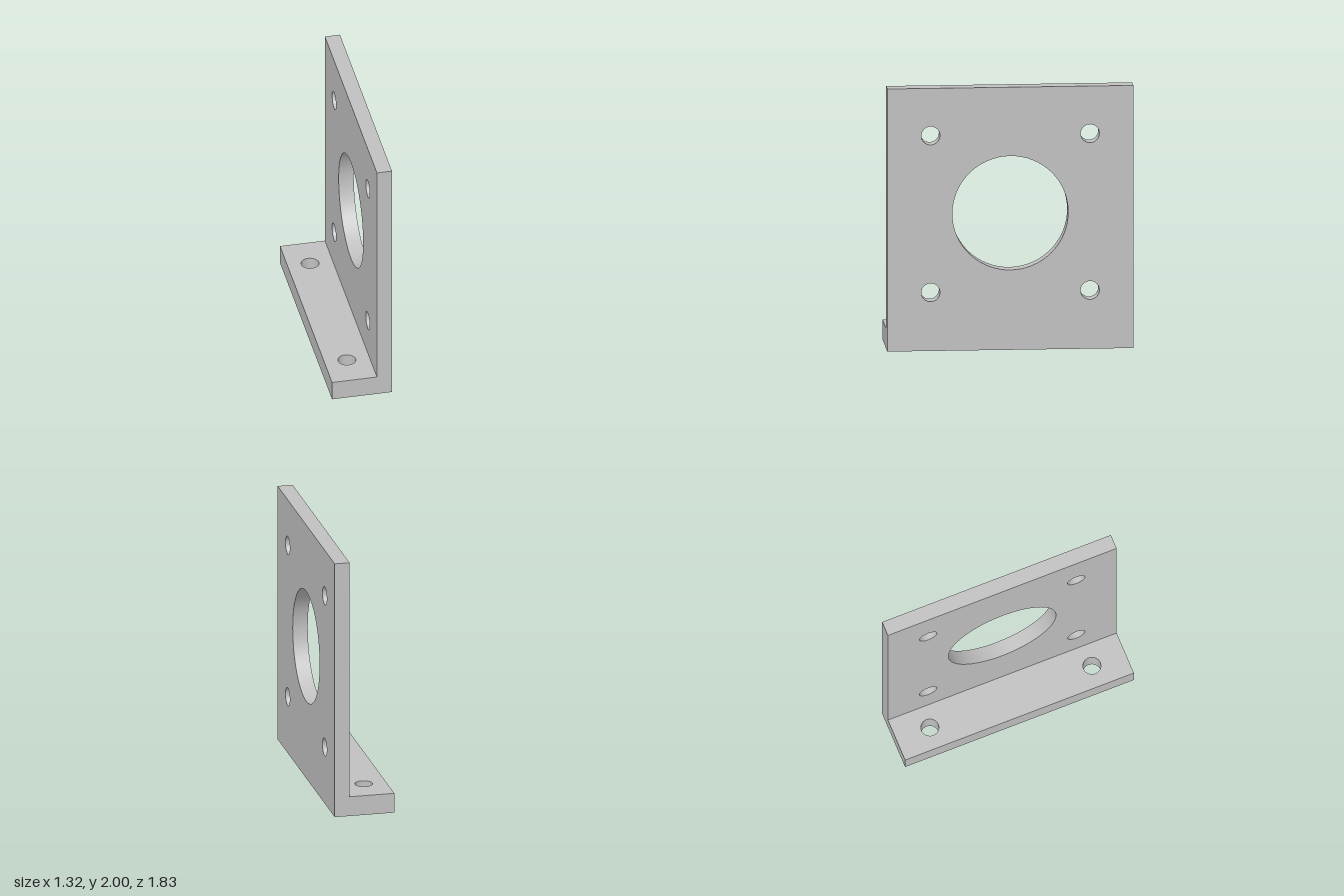
import * as THREE from 'three';
import { toCreasedNormals } from 'three/addons/utils/BufferGeometryUtils.js';

const LENGTH = 1.844, HEIGHT = 2, DEPTH = 0.458;
const WALL = 0.115, FOOT = 0.152;

// Rectangular slab in XY with round holes [x, y, radius], extruded along +z
function drilledSlab(x0, y0, x1, y1, thickness, holes) {
  const shape = new THREE.Shape([
    new THREE.Vector2(x0, y0), new THREE.Vector2(x1, y0),
    new THREE.Vector2(x1, y1), new THREE.Vector2(x0, y1),
  ]);
  for (const [x, y, r] of holes) {
    shape.holes.push(new THREE.Path().absarc(x, y, r, 0, Math.PI * 2, true));
  }
  const geometry = new THREE.ExtrudeGeometry(shape, {
    depth: thickness, bevelEnabled: false, curveSegments: 32,
  });
  return toCreasedNormals(geometry, 0.6);
}

export function createModel() {
  const metal = new THREE.MeshStandardMaterial({ color: 0xc0c0c0 });
  metal.name = 'grey metal';

  // Upright plate: large bore with four bolt holes on a square around it
  const boreY = 1.042, bolt = 0.597;
  const plateHoles = [[0, boreY, 0.434]];
  for (const sx of [-1, 1]) {
    for (const sy of [-1, 1]) plateHoles.push([sx * bolt, boreY + sy * bolt, 0.07]);
  }
  const plate = new THREE.Mesh(
    drilledSlab(-LENGTH / 2, 0, LENGTH / 2, HEIGHT, WALL, plateHoles), metal);
  plate.name = 'uprightPlate';
  plate.position.z = -DEPTH / 2;

  // Foot flange: runs out from the plate, with two mounting holes
  const run = DEPTH - WALL;
  const footHoles = [-1, 1].map((s) => [s * 0.653, run / 2, 0.067]);
  const foot = new THREE.Mesh(
    drilledSlab(-LENGTH / 2, 0, LENGTH / 2, run, FOOT, footHoles), metal);
  foot.name = 'footFlange';
  foot.rotation.x = Math.PI / 2;
  foot.position.set(0, FOOT, -DEPTH / 2 + WALL);

  // Whole bracket stands turned by 60 degrees
  const bracket = new THREE.Group();
  bracket.name = 'bracket';
  bracket.add(plate, foot);
  bracket.rotation.y = -Math.PI / 3;

  const model = new THREE.Group();
  model.name = 'mountingBracket';
  model.add(bracket);
  return model;
}
